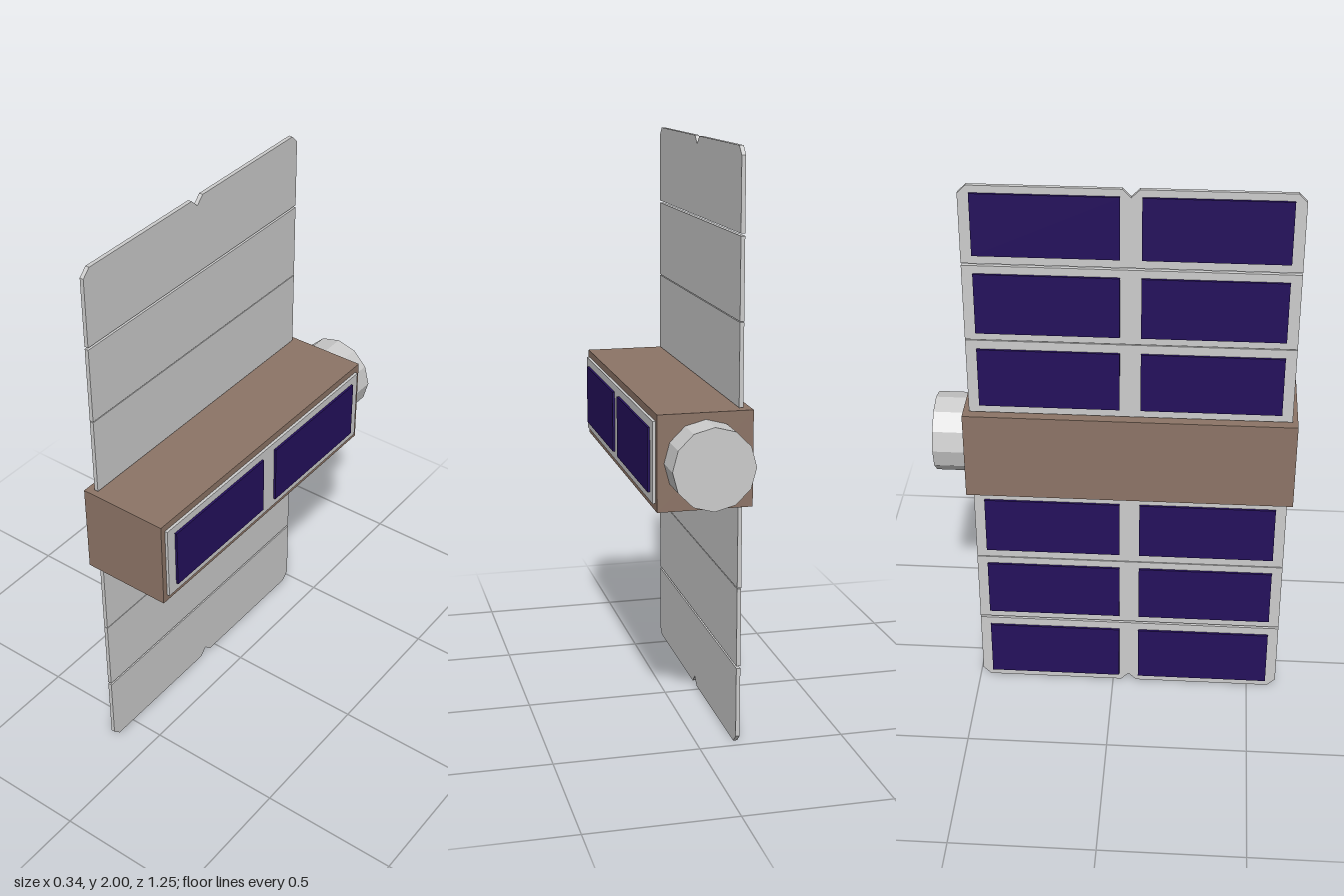
import * as THREE from 'three';

const grey = new THREE.MeshStandardMaterial({ color: 0xcccccc, flatShading: true });
const brown = new THREE.MeshStandardMaterial({ color: 0x8c7466 });
const blue = new THREE.MeshStandardMaterial({ color: 0x24105c });

const MID_Y = 1, MID_Z = 0.058;      // centre of the body and panels
const Z0 = -0.49, Z1 = 0.606;        // panel extent along the body
const CELLS = [[-0.453, 0.023], [0.093, 0.569]];

// Box given by its minimum and maximum on each axis
function box(name, material, [x0, x1], [y0, y1], [z0, z1]) {
  const mesh = new THREE.Mesh(new THREE.BoxGeometry(x1 - x0, y1 - y0, z1 - z0), material);
  mesh.position.set((x0 + x1) / 2, (y0 + y1) / 2, (z0 + z1) / 2);
  mesh.name = name;
  return mesh;
}

// End plate with clipped outer corners and a V notch, drawn in (z, y)
function endPlate(y0, y1, xMin, thickness) {
  const c = 0.028;
  const shape = new THREE.Shape([
    [Z0, y0], [Z1, y0], [Z1, y1 - c], [Z1 - c, y1],
    [MID_Z + c, y1], [MID_Z, y1 - c], [MID_Z - c, y1],
    [Z0 + c, y1], [Z0, y1 - c],
  ].map(([z, y]) => new THREE.Vector2(-z, y)));
  const geometry = new THREE.ExtrudeGeometry(shape, { depth: thickness, bevelEnabled: false });
  geometry.rotateY(Math.PI / 2);
  geometry.translate(xMin, 0, 0);
  const mesh = new THREE.Mesh(geometry, grey);
  mesh.name = 'endPlate';
  return mesh;
}

// Three hinged panels with two cells each, stacked outward from the body
function wing(name) {
  const group = new THREE.Group();
  group.name = name;
  const rows = [[0.167, 0.445], [0.448, 0.72], [0.728, 1]];
  rows.forEach(([y0, y1], i) => {
    group.add(i < 2
      ? box('panelPlate', grey, [-0.141, -0.127], [y0, y1], [Z0, Z1])
      : endPlate(y0, y1, -0.141, 0.014));
    const top = [0.413, 0.692, 0.975][i];
    for (const z of CELLS) group.add(box('wingCell', blue, [-0.149, -0.14], [top - 0.217, top], z));
  });
  group.position.y = MID_Y;
  return group;
}

export function createModel() {
  const model = new THREE.Group();
  model.name = 'satellite';

  // Body
  model.add(box('body', brown, [-0.17, 0.15], [0.84, 1.163], [-0.512, 0.625]));

  // Panel on the side of the body
  model.add(box('sidePanelPlate', grey, [0.148, 0.16], [0.865, 1.138], [Z0, Z1]));
  for (const z of CELLS) model.add(box('sideCell', blue, [0.159, 0.168], [0.894, 1.11], z));

  // Twelve-sided drum at the rear
  const drum = new THREE.Mesh(new THREE.CylinderGeometry(0.138, 0.138, 0.125, 12), grey);
  drum.name = 'rearDrum';
  drum.rotation.x = Math.PI / 2;
  drum.position.set(-0.011, 1.002, -0.5625);
  model.add(drum);

  // Upper wing and its copy turned upside down
  const upper = wing('upperWing');
  const lower = wing('lowerWing');
  // Half turn about x, then shifted so the panels line up in z
  lower.rotation.x = Math.PI;
  lower.position.z = 2 * MID_Z;
  model.add(upper, lower);

  return model;
}
